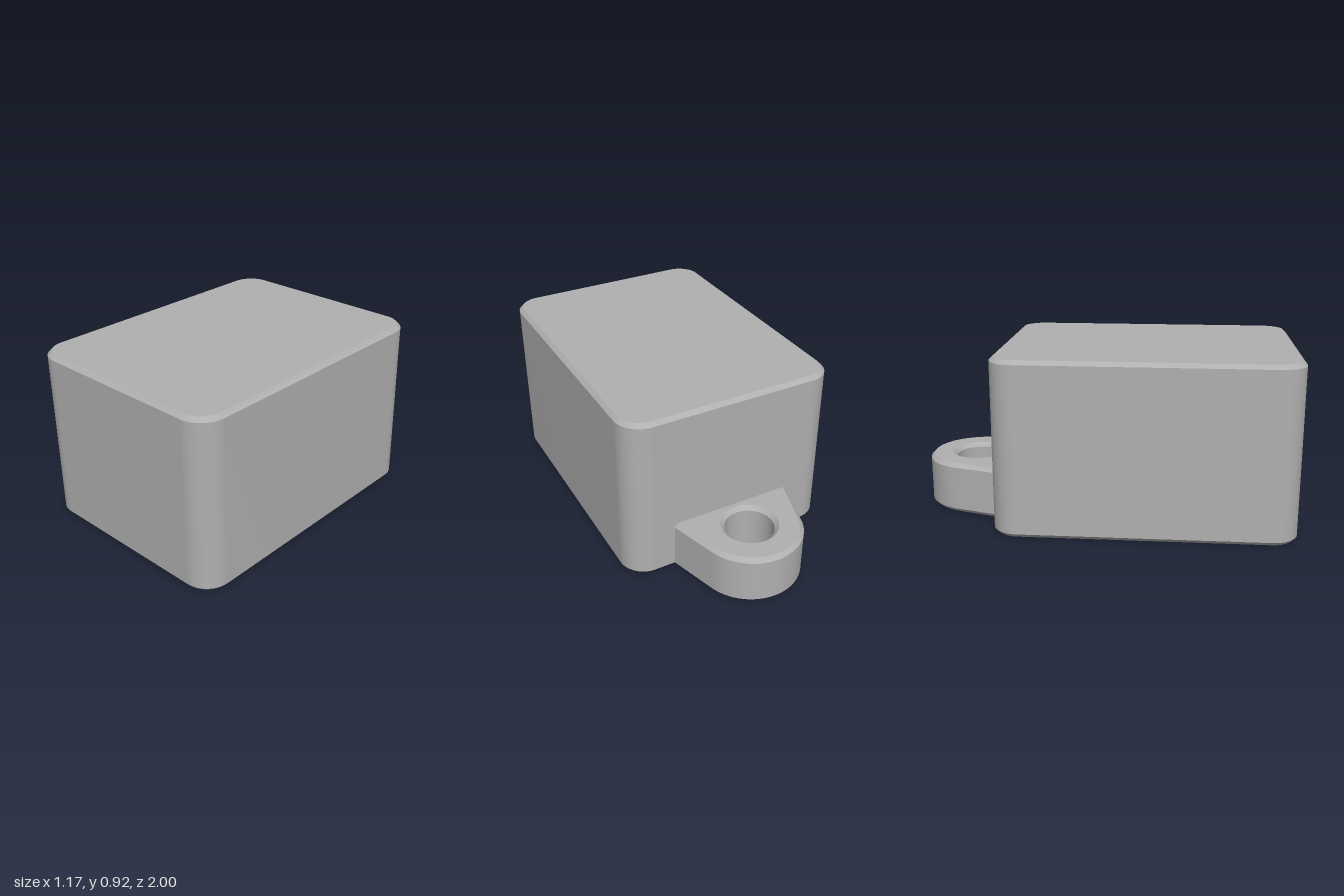
import * as THREE from 'three';
import { toCreasedNormals } from 'three/addons/utils/BufferGeometryUtils.js';

const CHAMFER = 0.021;

// Upright plate from a plan outline (shape y = -z), chamfered at both ends
function chamferedPrism(shape, height) {
  const geometry = new THREE.ExtrudeGeometry(shape, {
    depth: height - 2 * CHAMFER,
    bevelEnabled: true,
    bevelThickness: CHAMFER,
    bevelSize: CHAMFER,
    bevelOffset: -CHAMFER,
    bevelSegments: 1,
    curveSegments: 24,
  });
  geometry.translate(0, 0, CHAMFER);
  geometry.rotateX(-Math.PI / 2);
  return toCreasedNormals(geometry, Math.PI / 6);
}

// Rounded rectangle plan
function bodyOutline(halfWidth, front, back, r) {
  const s = new THREE.Shape();
  s.absarc(halfWidth - r, front + r, r, -Math.PI / 2, 0, false);
  s.absarc(halfWidth - r, back - r, r, 0, Math.PI / 2, false);
  s.absarc(-halfWidth + r, back - r, r, Math.PI / 2, Math.PI, false);
  s.absarc(-halfWidth + r, front + r, r, Math.PI, Math.PI * 1.5, false);
  s.closePath();
  return s;
}

// Tapered lug plan with a round end and a hole; its root sits inside the body
function lugOutline(centre, radius, holeRadius, root) {
  const taper = 0.288;
  const tangentX = radius * Math.cos(taper);
  const tangentY = centre + radius * Math.sin(taper);
  const rootX = tangentX + (tangentY - root) * Math.tan(taper);
  const s = new THREE.Shape();
  s.moveTo(-rootX, root);
  s.lineTo(rootX, root);
  s.absarc(0, centre, radius, taper, Math.PI - taper, false);
  s.closePath();
  const hole = new THREE.Path();
  hole.absarc(0, centre, holeRadius, 0, Math.PI * 2, true);
  s.holes.push(hole);
  return s;
}

export function createModel() {
  const group = new THREE.Group();
  group.name = 'blockWithLug';
  const grey = new THREE.MeshStandardMaterial({ color: 0xb0b0b0 });
  grey.name = 'grey';

  const body = new THREE.Mesh(chamferedPrism(bodyOutline(0.583, -1, 0.555, 0.135), 0.917), grey);
  body.name = 'body';

  const lug = new THREE.Mesh(chamferedPrism(lugOutline(0.727, 0.273, 0.127, 0.5), 0.277), grey);
  lug.name = 'mountingLug';

  group.add(body, lug);
  return group;
}
